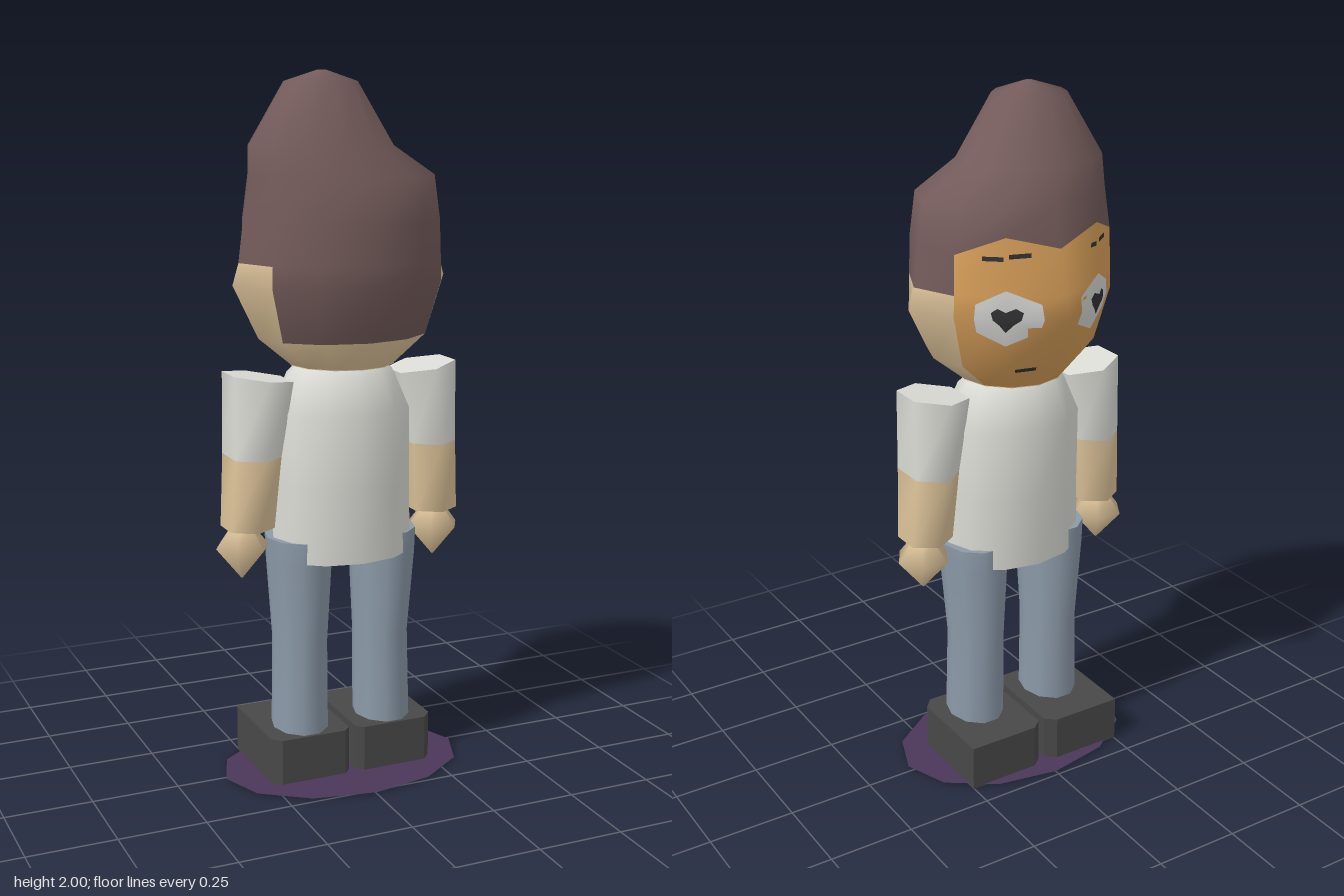
import * as THREE from 'three';

const mat = (name, color, side = THREE.FrontSide) => {
  const m = new THREE.MeshStandardMaterial({ color, side });
  m.name = name;
  return m;
};

const geometry = (positions, index) => {
  const g = new THREE.BufferGeometry();
  g.setAttribute('position', new THREE.Float32BufferAttribute(positions.flat(), 3));
  g.setIndex(index);
  g.computeVertexNormals();
  return g;
};

// Smooth skin over elliptical rings [y, cx, rx, cz, rz, slant], flat caps at both ends
function loft(rings, sides, phase = 0) {
  const pos = [], index = [];
  const ring = ([y, cx, rx, cz, rz, slant = 0]) => {
    for (let i = 0; i < sides; i++) {
      const a = phase + (i / sides) * Math.PI * 2;
      pos.push([cx + rx * Math.cos(a), y + slant * Math.cos(a), cz + rz * Math.sin(a)]);
    }
  };
  rings.forEach(ring);
  for (let r = 0; r < rings.length - 1; r++) {
    for (let i = 0; i < sides; i++) {
      const j = (i + 1) % sides, a = r * sides, b = a + sides;
      index.push(a + i, b + i, a + j, b + i, b + j, a + j);
    }
  }
  [rings[0], rings[rings.length - 1]].forEach((cap, top) => {
    const start = pos.length;
    ring(cap);
    for (let i = 1; i < sides - 1; i++) {
      index.push(start, start + (top ? i + 1 : i), start + (top ? i : i + 1));
    }
  });
  return geometry(pos, index);
}

// Head rings: [y, cx, rx, rz, side tip x, front tip z]
const COLS = 12, HEAD_Z = 0.017;
const HEAD = [
  [1.20, 0, 0.15, 0.148],
  [1.28, 0, 0.247, 0.198],
  [1.43, 0, 0.29, 0.24, 0.32, -0.275],
  [1.49, 0, 0.288, 0.24, 0.302, -0.258],
  [1.60, 0, 0.284, 0.236, 0.288, -0.23],
  [1.72, 0, 0.268, 0.22],
  [1.80, -0.06, 0.207, 0.171],
  [1.97, -0.06, 0.102, 0.098],
  [2.00, -0.057, 0.012, 0.01],
];
const HAIRLINE = 4;

function headPoint(r, col) {
  const [y, cx, rx, rz, tipX, tipZ] = HEAD[r];
  const i = ((col % COLS) + COLS) % COLS, a = (i / COLS) * Math.PI * 2;
  let x = cx + rx * Math.cos(a), z = HEAD_Z + rz * Math.sin(a), h = y;
  if (tipX && i % 6 === 0) x = i === 0 ? tipX : -tipX;
  if (tipZ && i === 9) z = tipZ;
  if (r === HAIRLINE) h += { 8: 0.05, 9: 0.01, 10: 0.05 }[i] || 0;
  return new THREE.Vector3(x, h, z);
}

// Point on the head at a fractional column and a height, pushed outwards a little
function onHead(t, y, lift) {
  const column = (i) => {
    let r = 0;
    while (r < HEAD.length - 2 && headPoint(r + 1, i).y < y) r++;
    const a = headPoint(r, i), b = headPoint(r + 1, i);
    return a.lerp(b, (y - a.y) / (b.y - a.y));
  };
  const i = Math.floor(t), p = column(i).lerp(column(i + 1), t - i);
  const out = new THREE.Vector3(p.x, 0, p.z - HEAD_Z).normalize();
  return p.addScaledVector(out, lift);
}

// Thin painted patch: a fan around a centre, outline given as [column, height] offsets
function patch(t, y, outline, lift) {
  const pos = [[0, 0], ...outline].map(([dt, dy]) => onHead(t + dt, y + dy, lift).toArray());
  const n = outline.length, index = [];
  for (let i = 0; i < n; i++) index.push(0, 1 + i, 1 + ((i + 1) % n));
  return geometry(pos, index);
}

function headGeometry() {
  const pos = [], byColour = [[], [], []]; // hair, skin, face
  HEAD.forEach((_, r) => {
    for (let i = 0; i < COLS; i++) pos.push(headPoint(r, i).toArray());
  });
  for (let r = 0; r < HEAD.length - 1; r++) {
    for (let i = 0; i < COLS; i++) {
      const j = (i + 1) % COLS, a = r * COLS, b = a + COLS;
      const isFace = i >= 7 && i <= 10, isBack = i >= 1 && i <= 4;
      let c = 0;
      if (isFace) c = r < HAIRLINE ? 2 : 0;
      else if (isBack) c = r < 1 ? 1 : 0;
      else c = r < 3 ? 1 : 0;
      byColour[c].push(a + i, b + i, a + j, b + i, b + j, a + j);
    }
  }
  const last = (HEAD.length - 1) * COLS;
  for (let i = 1; i < COLS - 1; i++) byColour[0].push(last, last + i + 1, last + i);
  const g = geometry(pos, byColour.flat());
  let start = 0;
  byColour.forEach((list, c) => {
    g.addGroup(start, list.length, c);
    start += list.length;
  });
  return g;
}

export function createModel() {
  const model = new THREE.Group();
  model.name = 'figure';
  const hair = mat('hair brown', 0x735b5a);
  const skin = mat('skin', 0xdec49a);
  const face = mat('face orange', 0xd9a05a);
  const white = mat('shirt white', 0xdcdcd6);
  const denim = mat('trouser blue', 0x8c9aa9);
  const shoe = mat('shoe grey', 0x484848);
  const ink = mat('ink', 0x333335, THREE.DoubleSide);
  const eyeWhite = mat('eye white', 0xd8d8d6, THREE.DoubleSide);
  const purple = mat('base purple', 0x4b3759, THREE.DoubleSide);

  const add = (name, geo, material) => {
    const m = new THREE.Mesh(geo, material);
    m.name = name;
    model.add(m);
    return m;
  };

  // Head with hair, bare sides and coloured face
  add('head', headGeometry(), [hair, skin, face]);
  add('chin', loft([[1.198, 0, 0.15, HEAD_Z, 0.148], [1.201, 0, 0.15, HEAD_Z, 0.148]], 12), skin);
  add('neck', loft([[1.16, 0, 0.1, 0.015, 0.08], [1.22, 0, 0.1, 0.015, 0.08]], 10), skin);

  // Eyes and brows
  const eyeShape = [[0, 0.08], [0.58, 0.04], [0.6, 0], [0.58, -0.04],
    [0, -0.08], [-0.58, -0.04], [-0.6, 0], [-0.58, 0.04]];
  const pupilShape = [[0, 0.022], [0.16, 0.032], [0.28, 0.02], [0.24, 0], [0.12, -0.015],
    [0, -0.037], [-0.12, -0.015], [-0.24, 0], [-0.28, 0.02], [-0.16, 0.032]];
  const dash = (w, h) => [[-w, h], [w, h], [w, -h], [-w, -h]];
  for (const t of [8, 10]) {
    add('eye', patch(t, 1.43, eyeShape, 0.004), eyeWhite);
    add('pupil', patch(t, 1.43, pupilShape, 0.007), ink);
    add('browInner', patch(t - 0.25, 1.6, dash(0.2, 0.006), 0.004), ink);
    add('browOuter', patch(t + 0.25, 1.594, dash(0.2, 0.006), 0.004), ink);
  }
  add('mouth', patch(9.55, 1.265, dash(0.25, 0.006), 0.004), ink);

  // Shirt body
  add('shirt', loft([
    [0.65, 0, 0.21, 0.02, 0.155], [0.86, 0, 0.205, 0.018, 0.156],
    [1.07, 0, 0.203, 0.015, 0.16], [1.17, 0, 0.16, 0.013, 0.122], [1.2, 0, 0.13, 0.013, 0.09],
  ], 12), white);

  for (const s of [1, -1]) {
    const side = s > 0 ? 'left' : 'right';

    // Arm: sleeve, forearm and pointed hand
    const elbow = [0.955, s * 0.27, 0.078, 0.017, 0.108];
    add(side + 'Sleeve', loft([elbow, [1.175, s * 0.25, 0.1, 0.017, 0.1, s * 0.015]], 6, Math.PI / 6), white);
    add(side + 'Forearm', loft([[0.75, s * 0.285, 0.075, 0.017, 0.085], elbow], 6, Math.PI / 6), skin);
    add(side + 'Hand', loft([
      [0.6, s * 0.3, 0.002, 0.008, 0.002], [0.692, s * 0.298, 0.078, 0.008, 0.08],
      [0.755, s * 0.3, 0.03, 0.008, 0.03],
    ], 6), skin);

    // Leg
    add(side + 'Leg', loft([
      [0.12, s * 0.13, 0.08, 0.015, 0.1], [0.4, s * 0.127, 0.078, 0.01, 0.095],
      [0.64, s * 0.13, 0.092, 0.013, 0.114], [0.71, s * 0.13, 0.095, 0.013, 0.115],
    ], 10), denim);

    // Shoe with clipped corners, wider toe towards -z
    const plan = [[0.01, 0.1], [0.03, 0.12], [0.225, 0.12], [0.252, 0.09],
      [0.252, -0.18], [0.04, -0.18], [0.01, -0.155]];
    const shape = new THREE.Shape(plan.map(([x, z]) => new THREE.Vector2(s * x, -z)));
    const sole = new THREE.ExtrudeGeometry(shape, { depth: 0.137, bevelEnabled: false });
    add(side + 'Shoe', sole.rotateX(-Math.PI / 2), shoe);
  }

  // Ground disc
  const disc = new THREE.CircleGeometry(1, 12).rotateX(-Math.PI / 2).scale(0.36, 1, 0.255);
  add('baseDisc', disc, purple).position.set(0, 0.004, HEAD_Z);
  return model;
}
